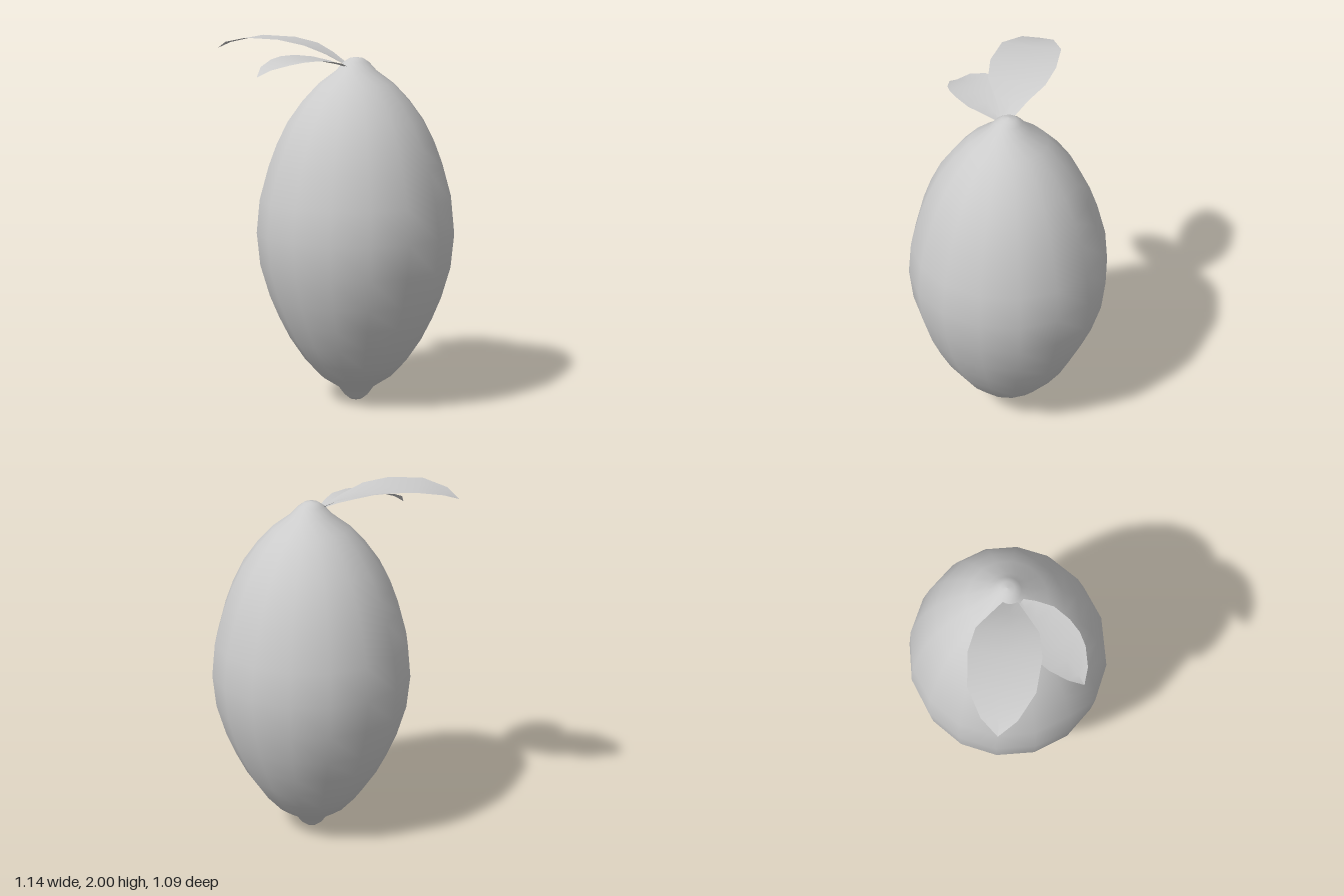
import * as THREE from 'three';

const fruitMaterial = new THREE.MeshStandardMaterial({ color: 0xcccccc });
const leafMaterial = new THREE.MeshStandardMaterial({ color: 0xcccccc, side: THREE.DoubleSide });

// Leaf from cross-sections [distance, half width, right edge y, middle y, left edge y]
function makeLeaf(name, baseX, baseZ, dirX, dirZ, sections) {
  const positions = [];
  const indices = [];
  for (const [t, w, yRight, yMid, yLeft] of sections) {
    [[-1, yRight], [0, yMid], [1, yLeft]].forEach(([side, y]) => {
      positions.push(baseX + dirX * t + dirZ * w * side, y, baseZ + dirZ * t - dirX * w * side);
    });
  }
  for (let i = 0; i < sections.length - 1; i++) {
    for (let j = 0; j < 2; j++) {
      const a = i * 3 + j;
      const b = a + 3;
      indices.push(a, a + 1, b);
      // the last row closes to a point
      indices.push(a + 1, b + 1, b);
    }
  }
  const geometry = new THREE.BufferGeometry();
  geometry.setAttribute('position', new THREE.Float32BufferAttribute(positions, 3));
  geometry.setIndex(indices);
  geometry.computeVertexNormals();
  const leaf = new THREE.Mesh(geometry, leafMaterial);
  leaf.name = name;
  return leaf;
}

export function createModel() {
  const group = new THREE.Group();
  group.name = 'fruitWithLeaves';

  // Fruit body with a small nub at both ends
  const profile = [
    [0, 0], [0.035, 0.006], [0.065, 0.03], [0.1, 0.078], [0.2, 0.145], [0.285, 0.24],
    [0.365, 0.36], [0.425, 0.48], [0.475, 0.6], [0.525, 0.77], [0.543, 0.95],
    [0.525, 1.13], [0.475, 1.31], [0.43, 1.43], [0.37, 1.55], [0.29, 1.66],
    [0.205, 1.75], [0.11, 1.82], [0.07, 1.864], [0.037, 1.886], [0, 1.892],
  ].map(([r, y]) => new THREE.Vector2(r, y));
  const fruit = new THREE.Mesh(new THREE.LatheGeometry(profile, 16), fruitMaterial);
  fruit.name = 'fruitBody';
  fruit.position.x = 0.025;
  group.add(fruit);

  // Large leaf reaching back and to the side
  group.add(makeLeaf('largeLeaf', -0.03, -0.02, -0.727, -0.687, [
    [0, 0.033, 1.86, 1.85, 1.855],
    [0.09, 0.088, 1.915, 1.902, 1.91],
    [0.19, 0.153, 1.96, 1.948, 1.957],
    [0.325, 0.177, 1.99, 1.983, 1.987],
    [0.505, 0.162, 2.0, 1.995, 1.995],
    [0.642, 0.087, 1.973, 1.965, 1.97],
    [0.714, 0, 1.933, 1.933, 1.933],
  ]));

  // Small leaf drooping to the side
  group.add(makeLeaf('smallLeaf', -0.045, 0.012, -1, -0.02, [
    [0, 0.02, 1.845, 1.84, 1.843],
    [0.06, 0.065, 1.873, 1.857, 1.862],
    [0.14, 0.113, 1.895, 1.872, 1.876],
    [0.24, 0.131, 1.905, 1.88, 1.882],
    [0.32, 0.13, 1.9, 1.876, 1.877],
    [0.39, 0.111, 1.885, 1.863, 1.864],
    [0.475, 0.06, 1.85, 1.834, 1.838],
    [0.527, 0, 1.8, 1.8, 1.8],
  ]));

  return group;
}
